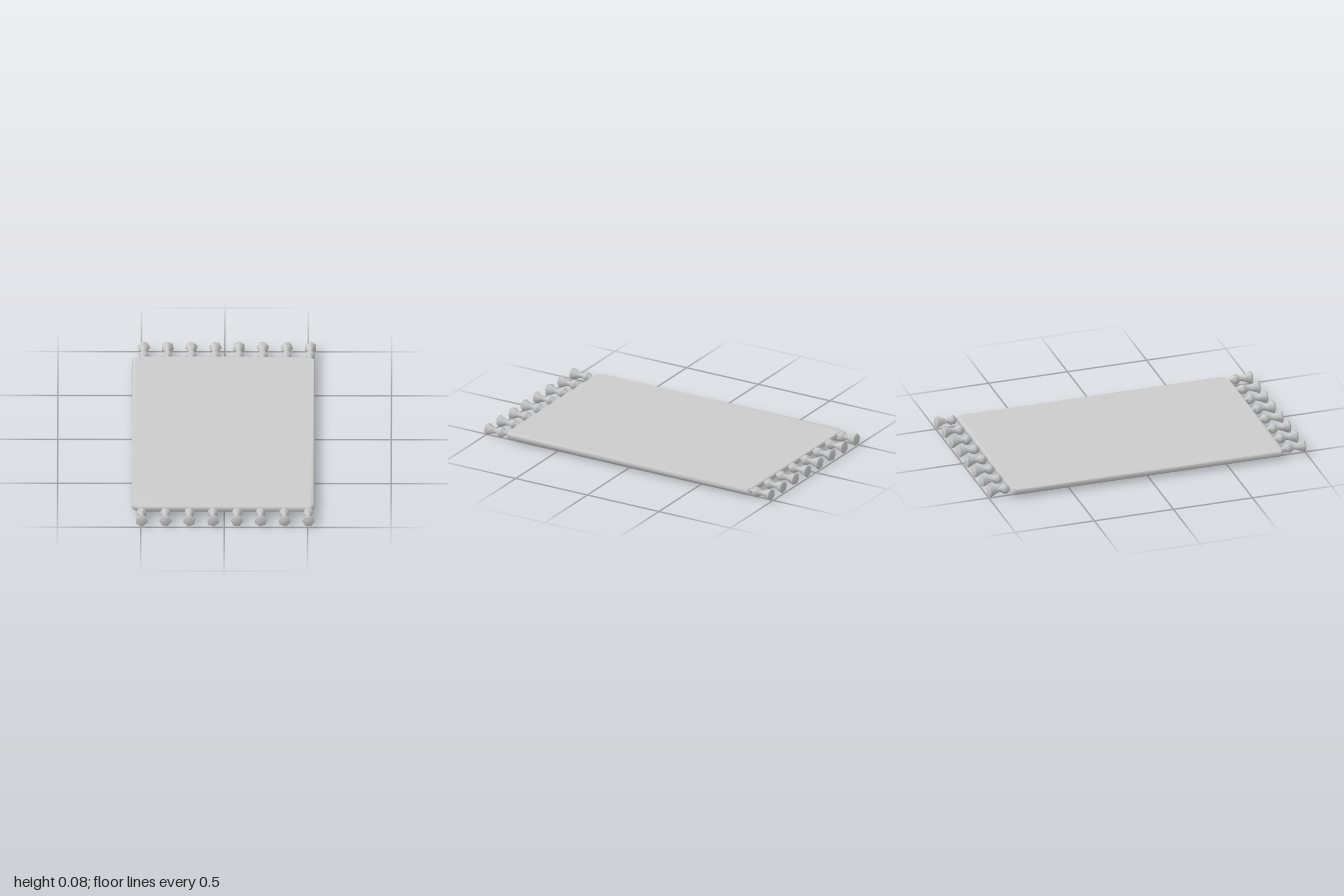
import * as THREE from 'three';
import { mergeVertices } from 'three/addons/utils/BufferGeometryUtils.js';

const material = new THREE.MeshStandardMaterial({ color: 0xcccccc });

// Thin slab with clipped corners and softened rims
function makeRug() {
  const bevel = 0.008, clip = 0.022;
  const w = 0.5475 - bevel, d = 0.86 - bevel;
  const outline = [
    [w, d - clip], [w - clip, d], [clip - w, d], [-w, d - clip],
    [-w, clip - d], [clip - w, -d], [w - clip, -d], [w, clip - d],
  ].map(([x, y]) => new THREE.Vector2(x, y));
  let geometry = new THREE.ExtrudeGeometry(new THREE.Shape(outline), {
    depth: 0.019, bevelEnabled: true, bevelSize: bevel, bevelThickness: bevel, bevelSegments: 1,
  });
  geometry.rotateX(-Math.PI / 2);
  geometry.translate(-0.0075, 0.028, -0.004);
  // Shared vertices give the rim its soft shading
  geometry.deleteAttribute('uv');
  geometry.deleteAttribute('normal');
  geometry = mergeVertices(geometry, 1e-4);
  geometry.computeVertexNormals();
  const rug = new THREE.Mesh(geometry, material);
  rug.name = 'rug';
  return rug;
}

// Tassel: thin cord, round knot, narrow waist and flared skirt, along +z
function makeTasselGeometry() {
  const profile = [
    [0, -0.02], [0.011, -0.02], [0.012, 0.018], [0.029, 0.032], [0.032, 0.048],
    [0.026, 0.064], [0.014, 0.077], [0.02, 0.1], [0.039, 0.139], [0.034, 0.15], [0, 0.152],
  ].map(([r, y]) => new THREE.Vector2(r, y));
  const geometry = new THREE.LatheGeometry(profile, 6);
  geometry.rotateX(Math.PI / 2);
  return geometry;
}

export function createModel() {
  const model = new THREE.Group();
  model.name = 'tasselledRug';
  model.add(makeRug());

  // A row of eight tassels on each short end, each rolled a little differently
  const geometry = makeTasselGeometry();
  for (const side of [1, -1]) {
    const row = new THREE.Group();
    row.name = side > 0 ? 'frontTassels' : 'backTassels';
    for (let i = 0; i < 8; i++) {
      const tassel = new THREE.Mesh(geometry, material);
      tassel.name = 'tassel';
      tassel.position.set((side > 0 ? -0.495 : -0.486) + i * 0.1428, 0.04, side * 0.848);
      tassel.rotation.set(0, side > 0 ? 0 : Math.PI, i * 0.37 + (side > 0 ? 0.1 : 0.6));
      row.add(tassel);
    }
    model.add(row);
  }
  return model;
}
